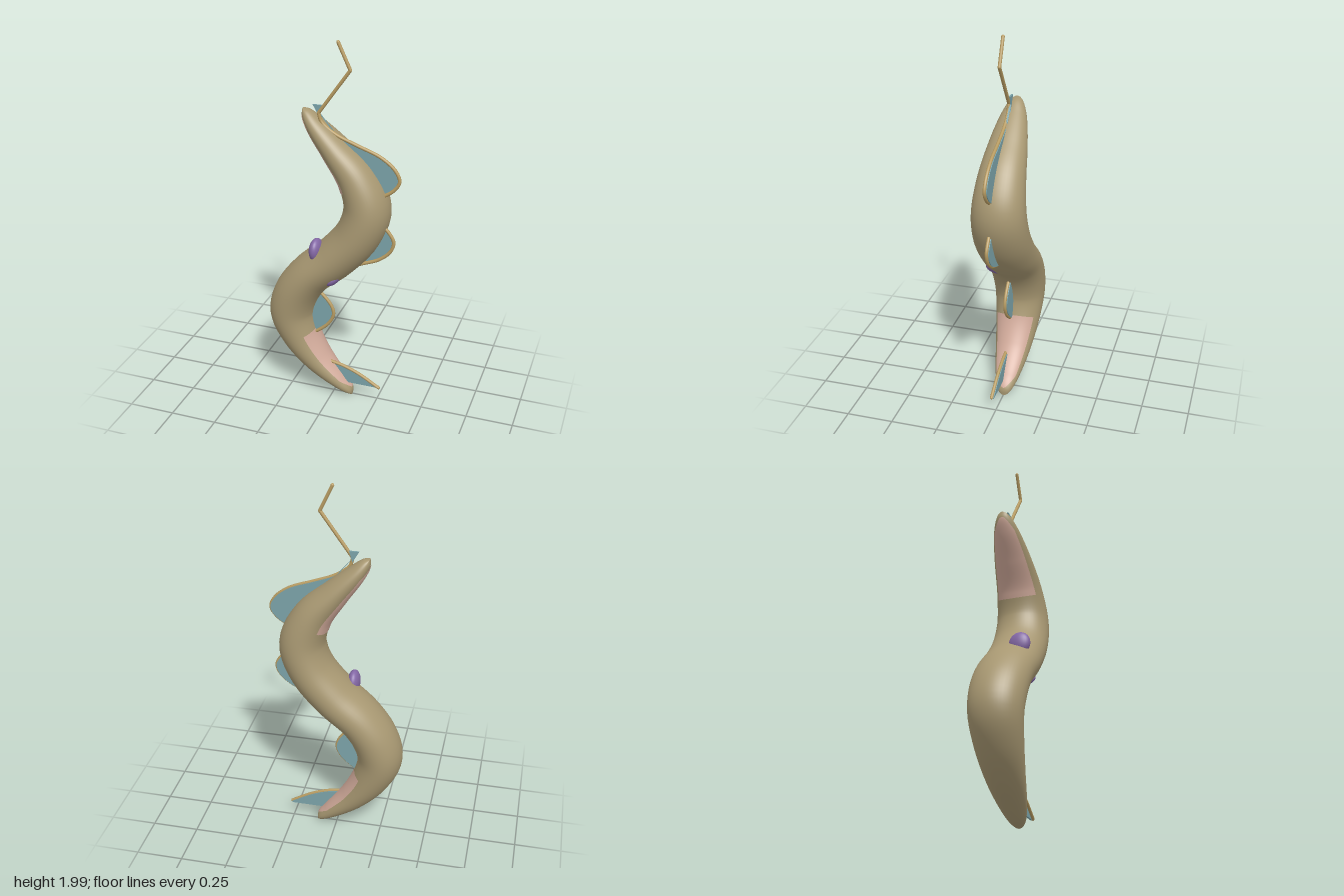
import * as THREE from 'three';

const mat = (name, color, side = THREE.FrontSide) => {
  const m = new THREE.MeshStandardMaterial({ color, side });
  m.name = name;
  return m;
};

// Body spine: x, y and in-plane radius, from top tip to bottom tip
const SPINE = new THREE.CatmullRomCurve3([
  [-0.165, 1.642, 0], [-0.148, 1.62, 0.024], [-0.1, 1.56, 0.046], [0.01, 1.44, 0.072],
  [0.125, 1.3, 0.1], [0.178, 1.145, 0.121], [0.135, 1.0, 0.119], [0.015, 0.85, 0.116],
  [-0.13, 0.72, 0.114], [-0.21, 0.6, 0.12], [-0.238, 0.485, 0.121], [-0.195, 0.35, 0.103],
  [-0.1, 0.21, 0.076], [0.03, 0.085, 0.044], [0.088, 0.034, 0.024], [0.108, 0.006, 0],
].map(p => new THREE.Vector3(...p)));
const LAST = 15;

// Point on the body skin at spine parameter t and angle a (a = 0 faces the +x side)
function skin(t, a, lift = 0) {
  const c = SPINE.getPoint(t);
  const d = SPINE.getTangent(t);
  const len = Math.hypot(d.x, d.y) || 1;
  const nx = -d.y / len, ny = d.x / len;
  const r = Math.max(0, c.z) + lift;
  const w = 0.152 * Math.sqrt(Math.max(0, 1 - ((c.y - 0.824) / 0.818) ** 2)) + lift;
  return [c.x + nx * r * Math.cos(a), c.y + ny * r * Math.cos(a), w * Math.sin(a)];
}

// Grid surface from rows of points; closed rows wrap around
function grid(rows, cols, closed, point) {
  const pos = [], idx = [];
  const n = closed ? cols : cols + 1;
  for (let i = 0; i <= rows; i++)
    for (let j = 0; j < n; j++) pos.push(...point(i / rows, j / cols));
  for (let i = 0; i < rows; i++)
    for (let j = 0; j < cols; j++) {
      const a = i * n + j, b = i * n + (j + 1) % n;
      idx.push(a, b, a + n, b, b + n, a + n);
    }
  const g = new THREE.BufferGeometry();
  g.setAttribute('position', new THREE.Float32BufferAttribute(pos, 3));
  g.setIndex(idx);
  g.computeVertexNormals();
  return g;
}

export function createModel() {
  const group = new THREE.Group();
  const tan = mat('tan skin', 0xa89872);
  const gold = mat('golden wire', 0xb89c62);
  const teal = mat('teal membrane', 0x7ba3a9, THREE.DoubleSide);
  const pink = mat('pink patch', 0xd2ab9b, THREE.DoubleSide);
  const purple = mat('purple spot', 0x8468a6);

  const add = (name, geometry, material) => {
    const m = new THREE.Mesh(geometry, material);
    m.name = name;
    group.add(m);
    return m;
  };

  // Tapered S-shaped body, with rows crowded towards the tips
  add('body', grid(120, 48, true, (u, v) =>
    skin((1 - Math.cos(u * Math.PI)) / 2, v * Math.PI * 2)), tan);

  // Pink patches: strips of skin that narrow towards the tip
  const patch = (name, wide, tip, middle) => {
    const lo = Math.min(wide, tip), hi = Math.max(wide, tip);
    add(name, grid(40, 16, false, (u, v) => {
      const s = lo + (hi - lo) * u;
      const fromTip = Math.abs(s - tip) / (hi - lo);
      const half = 0.95 * Math.pow(Math.min(1, fromTip * 3), 0.5);
      return skin(s / LAST, middle + (v * 2 - 1) * half, 0.003);
    }), pink);
  };
  patch('upperPatch', 4.15, 0.9, Math.PI);
  patch('lowerPatch', 11, 14, 0);

  // Oval spots, flattened along the outward direction
  const spot = (name, at, outward, along) => {
    const n = new THREE.Vector3(...outward).normalize();
    const side = new THREE.Vector3(...along).cross(n).normalize();
    const up = n.clone().cross(side);
    const m = add(name, new THREE.SphereGeometry(1, 32, 20), purple);
    m.scale.set(0.033, 0.064, 0.058);
    m.quaternion.setFromRotationMatrix(new THREE.Matrix4().makeBasis(n, up, side.negate().negate()));
    m.position.set(...at);
  };
  spot('upperSpot', [-0.078, 0.9, 0.066], [-0.72, 0.55, 0.42], [0.6, 0.8, 0]);
  spot('lowerSpot', [0.02, 0.746, 0.06], [0.75, -0.55, 0.4], [0.6, 0.8, 0]);

  // Wire-edged fins: a curved rim with a thin membrane back to the body
  const Z = 0.02, R = 0.009;
  const cap = (x, y) => add('wireJoint', new THREE.SphereGeometry(R, 12, 8), gold).position.set(x, y, Z);
  const membrane = (name, pts) => {
    const g = new THREE.ExtrudeGeometry(new THREE.Shape(pts), { depth: 0.009, bevelEnabled: false });
    g.translate(0, 0, 0.007);
    add(name, g, teal);
  };
  const fins = [
    ['topFin', [[-0.075, 1.63], [-0.06, 1.585], [0.01, 1.53], [0.12, 1.485], [0.25, 1.435],
      [0.325, 1.375], [0.348, 1.32], [0.32, 1.27], [0.25, 1.22]], []],
    ['upperFin', [[0.25, 1.08], [0.295, 1.04], [0.326, 0.985], [0.31, 0.93], [0.25, 0.875],
      [0.17, 0.84], [0.08, 0.805]], []],
    ['lowerFin', [[-0.12, 0.66], [-0.06, 0.615], [-0.01, 0.555], [0.003, 0.505], [-0.02, 0.45],
      [-0.07, 0.4], [-0.13, 0.36]], []],
    ['bottomFin', [[-0.01, 0.205], [0.06, 0.19], [0.15, 0.155], [0.262, 0.09]], [[0.262, 0.084], [0.05, 0.084]]],
  ];
  for (const [name, pts, closing] of fins) {
    const curve = new THREE.CatmullRomCurve3(pts.map(([x, y]) => new THREE.Vector3(x, y, Z)));
    add(name + 'Rim', new THREE.TubeGeometry(curve, 60, R, 10), gold);
    membrane(name, [...curve.getPoints(60).map(p => new THREE.Vector2(p.x, p.y)),
      ...closing.map(p => new THREE.Vector2(...p))]);
    cap(...pts[0]);
    cap(...pts[pts.length - 1]);
  }

  // Bent antenna above the top fin, and the small flag at its base
  const antenna = [[0.026, 1.992], [0.088, 1.86], [-0.075, 1.63]];
  antenna.forEach(([x, y], i) => {
    cap(x, y);
    if (i === 0) return;
    const [px, py] = antenna[i - 1];
    const line = new THREE.LineCurve3(new THREE.Vector3(px, py, Z), new THREE.Vector3(x, y, Z));
    add('antenna', new THREE.TubeGeometry(line, 1, R, 10), gold);
  });
  membrane('smallFlag', [[-0.108, 1.668], [-0.075, 1.61], [-0.058, 1.668]].map(p => new THREE.Vector2(...p)));

  return group;
}
